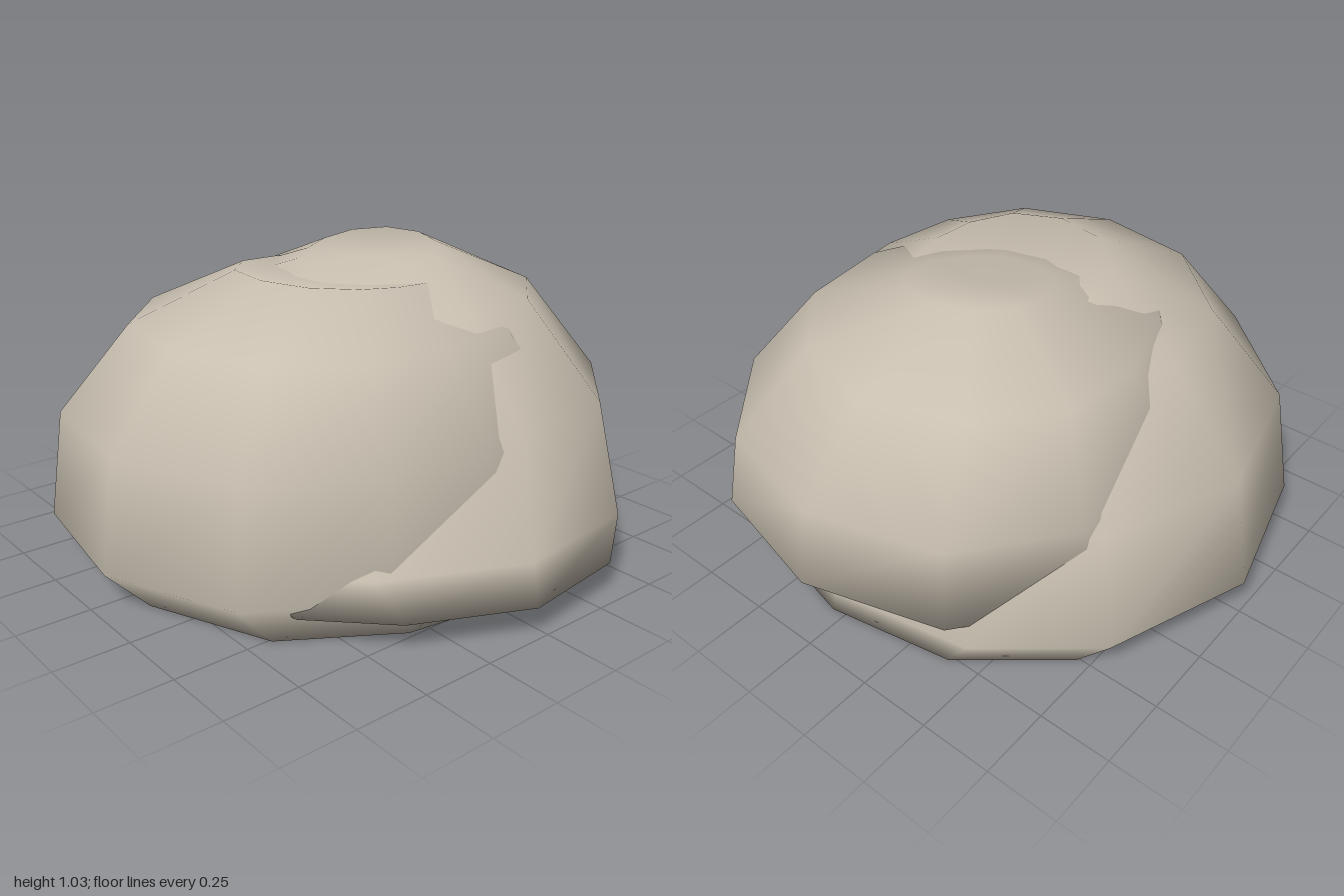
import * as THREE from 'three';

const stone = new THREE.MeshStandardMaterial({ color: 0xc8bfb0, side: THREE.DoubleSide });
stone.name = 'pale stone';

// Smooth lumpy dome: one irregular outline, scaled and shifted at each level.
// Each level is [y, scale, shiftX, shiftZ, rise to the left, rise to the back].
function boulder(name, outline, levels, apex) {
  const points = [];
  const faces = [];
  const n = outline.length;
  for (const [y, scale, dx, dz, riseX = 0, riseBack = 0] of levels) {
    for (const [x, z] of outline) {
      const px = x * scale + dx, pz = z * scale + dz;
      points.push(px, y + riseX * px - riseBack * pz, pz);
    }
  }
  // Centres of the crown and of the flat underside
  const top = levels.length * n;
  points.push(...apex, levels[0][2], levels[0][0], levels[0][3]);
  for (let j = 0; j < n; j++) {
    const k = (j + 1) % n;
    for (let i = 0; i < levels.length - 1; i++) {
      const a = i * n + j, b = i * n + k;
      faces.push(a, b, b + n, a, b + n, a + n);
    }
    faces.push(top - n + j, top - n + k, top, top + 1, k, j);
  }
  const geometry = new THREE.BufferGeometry();
  geometry.setAttribute('position', new THREE.Float32BufferAttribute(points, 3));
  geometry.setIndex(faces);
  geometry.computeVertexNormals();
  const mesh = new THREE.Mesh(geometry, stone);
  mesh.name = name;
  return mesh;
}

export function createModel() {
  const group = new THREE.Group();
  group.name = 'rock';

  // Main body on the ground; outlines run anticlockwise from the back
  group.add(boulder('mainBoulder',
    [[0, -1], [-0.52, -0.87], [-0.89, -0.47], [-0.97, 0.05], [-0.78, 0.5], [-0.4, 0.74],
      [0, 0.8], [0.43, 0.74], [0.77, 0.46], [0.87, 0], [0.78, -0.48], [0.5, -0.82]],
    [[0, 0.92, 0.05, 0.05], [0.13, 1, 0, 0], [0.51, 0.94, -0.02, 0.02],
      [0.81, 0.69, -0.05, 0.05], [0.945, 0.36, -0.01, 0.03, -0.07]],
    [0, 0.91, 0]));

  // Overlapping slab whose lower rim flares out at the front
  group.add(boulder('overlappingBoulder',
    [[0, -0.75], [-0.4, -0.62], [-0.7, -0.4], [-0.8, 0.05], [-0.72, 0.45], [-0.45, 0.72],
      [0, 0.93], [0.48, 0.87], [0.85, 0.53], [0.96, 0.05], [0.82, -0.43], [0.45, -0.72]],
    [[0.1, 0.83, -0.04, 0.22], [0.21, 1, 0, 0], [0.55, 0.9, 0.1, -0.06],
      [0.87, 0.66, 0.11, -0.1], [0.96, 0.27, 0.15, -0.06, 0.15, 0.07]],
    [0.15, 0.97, -0.05]));

  return group;
}
